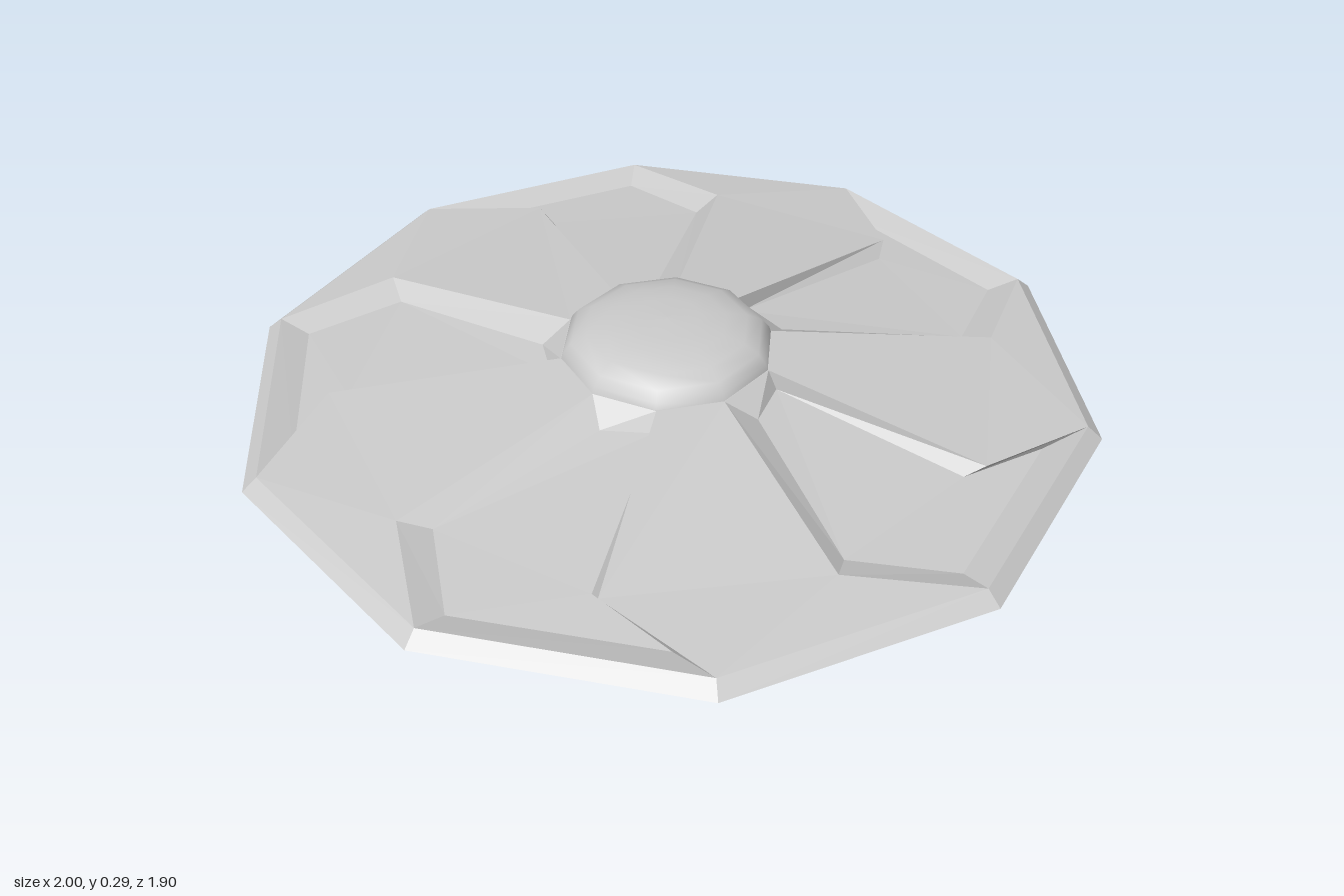
import * as THREE from 'three';

const MID = 0.105; // height of the widest edge; the hull is mirrored about it
const STEP = 36;

const polar = (r, deg, y) => {
  const a = THREE.MathUtils.degToRad(deg);
  return [r * Math.cos(a), y, r * Math.sin(a)];
};

// Corners of the twisted hull plates, k = 0..9
const edge = (k) => polar(1, STEP * k, MID);
const rim = (k) => polar(0.965, STEP * k, 0.135);
const bend = (k) => polar(0.78, STEP * k + 15.5, 0.152);
const hub = (k) => polar(0.25, STEP * k + 11, 0.21);

// Floor corners of a sunken bay, in the same order as its upper outline
const outline = (k) => [rim(k), rim(k + 1), bend(k + 1), hub(k + 1), hub(k), bend(k)];
const floorLoop = (k) => [
  [0.873, 4.8, 0.113], [0.89, 35, 0.112], [0.726, 47.7, 0.125],
  [0.30, 35.2, 0.165], [0.272, 11.7, 0.165], [0.74, 17.2, 0.122],
].map(([r, deg, y]) => polar(r, deg + STEP * k, y));

// Flat-shaded mesh from quads; the lower half is reflected with its winding reversed
function quadMesh(name, quads, material, lower) {
  const pos = [];
  for (const [a, b, c, d] of quads) {
    for (const tri of [[a, b, c], [a, c, d]]) {
      if (lower) tri.reverse();
      for (const [x, y, z] of tri) pos.push(x, lower ? 2 * MID - y : y, z);
    }
  }
  const geometry = new THREE.BufferGeometry();
  geometry.setAttribute('position', new THREE.Float32BufferAttribute(pos, 3));
  geometry.computeVertexNormals();
  const mesh = new THREE.Mesh(geometry, material);
  mesh.name = name;
  return mesh;
}

function buildHull(name, material, lower) {
  const rimBand = [], plates = [], floors = [], walls = [], cap = [];
  for (let k = 0; k < 10; k++) {
    rimBand.push([edge(k + 1), edge(k), rim(k), rim(k + 1)]);
    if (k % 2 === 0) {
      // Raised plate: outer and inner halves meet at the bend
      plates.push([rim(k + 1), rim(k), bend(k), bend(k + 1)]);
      plates.push([bend(k + 1), bend(k), hub(k), hub(k + 1)]);
      // Hub cap, two sides at a time
      cap.push([hub(k + 2), hub(k + 1), hub(k), [0, 0.21, 0]]);
    } else {
      // Sunken bay: floor plus sloping walls
      const top = outline(k), low = floorLoop(k);
      floors.push([low[1], low[0], low[5], low[2]]);
      floors.push([low[2], low[5], low[4], low[3]]);
      for (let i = 0; i < 6; i++) {
        const j = (i + 1) % 6;
        walls.push([top[j], top[i], low[i], low[j]]);
      }
    }
  }
  const hull = new THREE.Group();
  hull.name = name;
  hull.add(
    quadMesh('rimBand', rimBand, material, lower),
    quadMesh('raisedPlates', plates, material, lower),
    quadMesh('bayFloors', floors, material, lower),
    quadMesh('bayWalls', walls, material, lower),
    quadMesh('hubCap', cap, material, lower),
  );
  return hull;
}

export function createModel() {
  const group = new THREE.Group();
  group.name = 'saucer';
  const hullMaterial = new THREE.MeshStandardMaterial({ color: 0xcccccc, flatShading: true });
  const domeMaterial = new THREE.MeshStandardMaterial({ color: 0xcccccc });

  group.add(buildHull('upperHull', hullMaterial, false));
  group.add(buildHull('lowerHull', hullMaterial, true));

  // Smooth ten-sided dome
  const profile = [
    [0.25, 0.205], [0.243, 0.225], [0.225, 0.247], [0.19, 0.265],
    [0.14, 0.277], [0.08, 0.284], [0, 0.286],
  ].map(([r, y]) => new THREE.Vector2(r, y));
  const dome = new THREE.Mesh(new THREE.LatheGeometry(profile, 10), domeMaterial);
  dome.name = 'dome';
  dome.rotation.y = -THREE.MathUtils.degToRad(11 + 18); // line up with the hub corners
  group.add(dome);

  return group;
}
